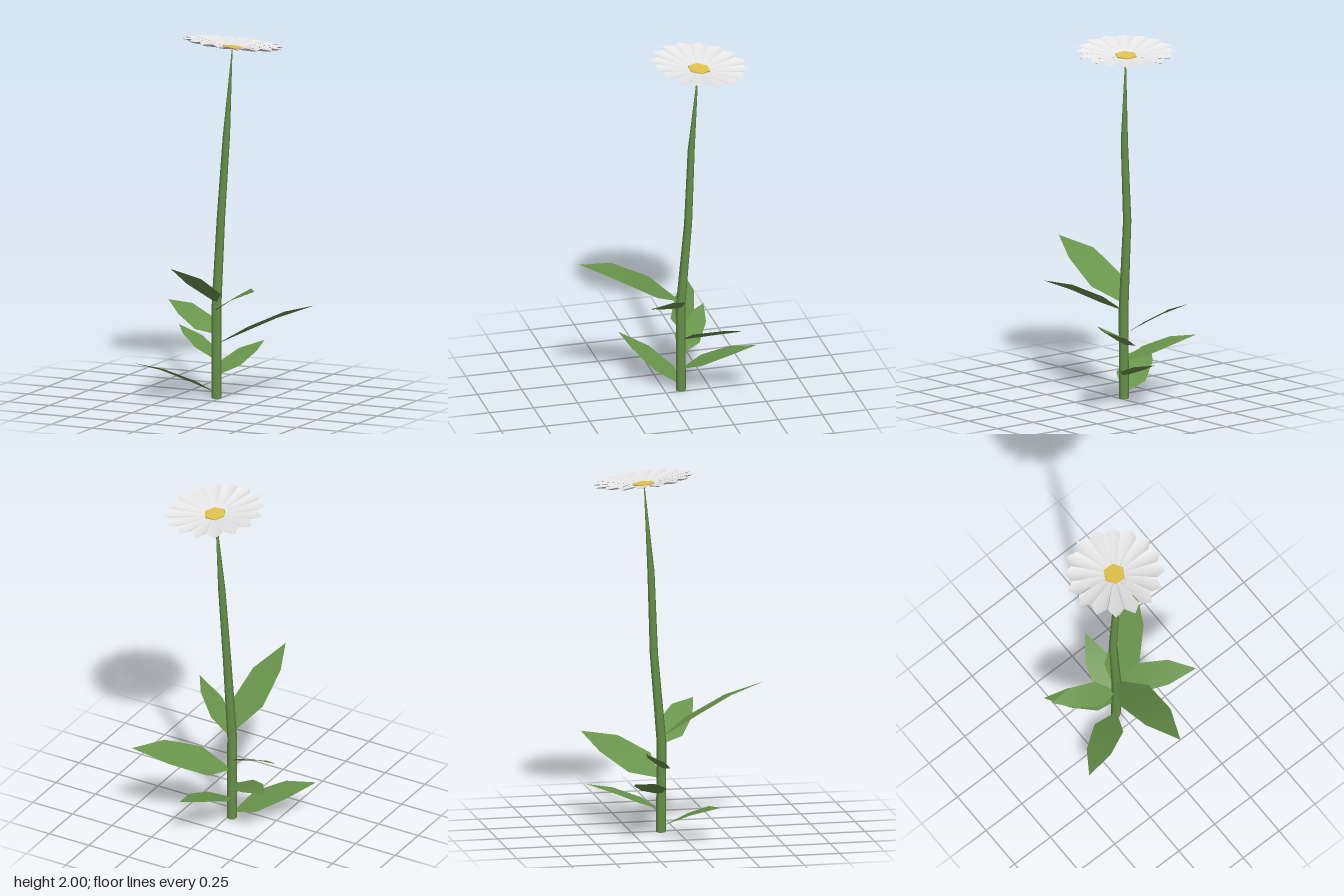
import * as THREE from 'three';

const green = new THREE.MeshStandardMaterial({ name: 'leafGreen', color: 0x68934a, side: THREE.DoubleSide });
const white = new THREE.MeshStandardMaterial({ name: 'petalWhite', color: 0xf0f0f0, side: THREE.DoubleSide });
const yellow = new THREE.MeshStandardMaterial({ name: 'centreYellow', color: 0xe2c44c });

// Stem rings from the ground up: x, y, z, radius
const RINGS = [
  [-0.02, 0, -0.09, 0.028],
  [-0.02, 0.5, -0.087, 0.027],
  [-0.012, 1.0, -0.128, 0.023],
  [0.016, 1.45, -0.138, 0.02],
  [0.035, 1.935, -0.172, 0.002],
];

// Leaves: height of the base, tip position, sideways roll
const LEAVES = [
  { baseY: 0.53, tip: [-0.026, 0.816, 0.482], roll: -0.19 },
  { baseY: 0.49, tip: [0.335, 0.665, 0.168], roll: 0.42 },
  { baseY: 0.3, tip: [0.405, 0.49, -0.447], roll: -0.38 },
  { baseY: 0.03, tip: [-0.407, 0.207, 0.16], roll: 0.22 },
  { baseY: 0.355, tip: [-0.373, 0.5, -0.215], roll: -0.42 },
  { baseY: 0.21, tip: [-0.353, 0.348, -0.307], roll: 0.18 },
  { baseY: 0.125, tip: [0.08, 0.265, -0.488], roll: 0.0 },
];

function surface(points, index) {
  const geo = new THREE.BufferGeometry();
  geo.setFromPoints(points);
  geo.setIndex(index);
  geo.computeVertexNormals();
  return geo;
}

// Hexagonal tube bent and tapered along the rings
function stemGeometry() {
  const geo = new THREE.CylinderGeometry(1, 1, 1, 6, RINGS.length - 1);
  const p = geo.attributes.position;
  for (let i = 0; i < p.count; i++) {
    const [x, y, z, r] = RINGS[Math.round((p.getY(i) + 0.5) * (RINGS.length - 1))];
    p.setXYZ(i, x + p.getX(i) * r, y, z + p.getZ(i) * r);
  }
  return geo;
}

// Flat pointed blade that arches over toward its tip
function leafGeometry({ baseY, tip, roll }) {
  const base = new THREE.Vector3(-0.02, baseY, -0.088);
  const end = new THREE.Vector3(...tip);
  const along = end.clone().sub(base);
  const length = Math.hypot(along.x, along.z);
  const side = new THREE.Vector3(along.z / length, 0, -along.x / length);
  side.multiplyScalar(Math.cos(roll));
  side.y = Math.sin(roll);
  const points = [base];
  for (const [run, rise, width] of [[0.27, 0.36, 0.186], [0.65, 0.77, 0.155]]) {
    const mid = new THREE.Vector3(along.x * run, along.y * rise, along.z * run).add(base);
    for (const s of [-1, 1]) points.push(mid.clone().addScaledVector(side, s * width * length));
  }
  points.push(end);
  return surface(points, [0, 2, 1, 1, 2, 4, 1, 4, 3, 3, 4, 5]);
}

// Petal folded along its middle, pointing along +x
function petalGeometry() {
  const a = THREE.MathUtils.degToRad(10.6);
  const r = 0.238;
  const points = [
    new THREE.Vector3(0, 0, 0),
    new THREE.Vector3(r * Math.cos(a), 0.039, -r * Math.sin(a)),
    new THREE.Vector3(r, 0.024, 0),
    new THREE.Vector3(r * Math.cos(a), 0.039, r * Math.sin(a)),
    new THREE.Vector3(0.279, 0.033, 0),
  ];
  return surface(points, [0, 2, 1, 0, 3, 2, 1, 2, 4, 2, 3, 4]);
}

export function createModel() {
  const model = new THREE.Group();
  model.name = 'daisy';
  const add = (parent, name, geo, mat) => {
    const mesh = new THREE.Mesh(geo, mat);
    mesh.name = name;
    parent.add(mesh);
    return mesh;
  };

  add(model, 'stem', stemGeometry(), green);
  LEAVES.forEach((leaf, i) => add(model, `leaf${i + 1}`, leafGeometry(leaf), green));

  // Flower head, tilted slightly to the back left
  const flower = new THREE.Group();
  flower.name = 'flower';
  flower.position.set(0.036, 1.931, -0.176);
  flower.quaternion.setFromUnitVectors(
    new THREE.Vector3(0, 1, 0), new THREE.Vector3(0.065, 1, -0.1).normalize());
  model.add(flower);

  const petal = petalGeometry();
  const count = 16;
  for (let i = 0; i < count; i++) {
    const mesh = add(flower, `petal${i + 1}`, petal, white);
    mesh.rotation.y = -THREE.MathUtils.degToRad(14) + (i * Math.PI * 2) / count;
  }

  const disc = new THREE.CylinderGeometry(0.062, 0.062, 0.006, 6, 1, false, Math.PI / 2);
  add(flower, 'flowerCentre', disc, yellow).position.y = 0.012;

  return model;
}
